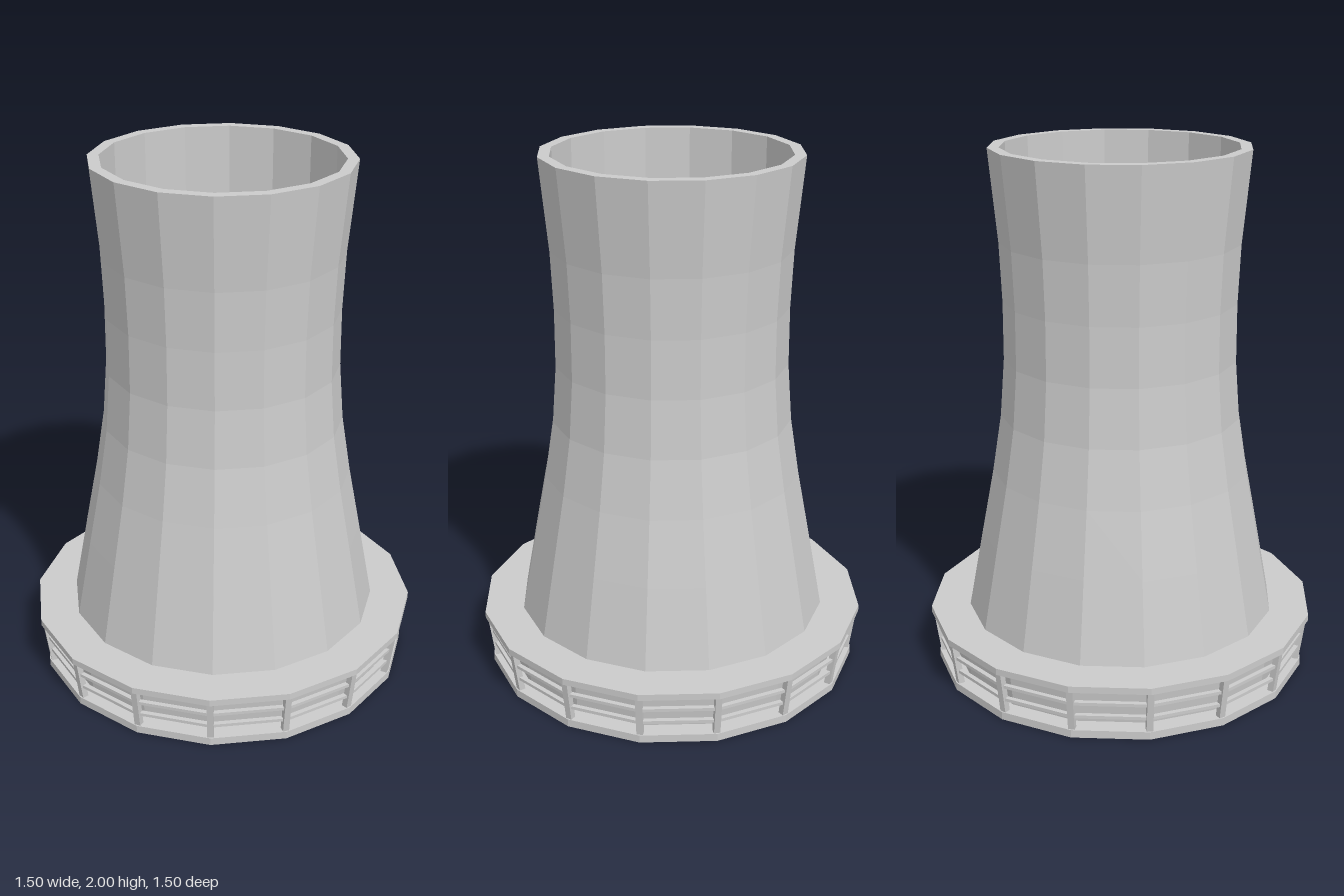
import * as THREE from 'three';

const SIDES = 16;

export function createModel() {
  const model = new THREE.Group();
  model.name = 'coolingTower';
  const material = new THREE.MeshStandardMaterial({ color: 0xcccccc, flatShading: true });

  // Faceted solid of revolution; profile runs up the outside, then back in.
  const addLathe = (name, profile) => {
    const points = profile.map(([r, y]) => new THREE.Vector2(r, y));
    const mesh = new THREE.Mesh(new THREE.LatheGeometry(points, SIDES), material);
    mesh.name = name;
    model.add(mesh);
  };

  // Waisted shell with a deep, nearly straight bore
  addLathe('towerShell', [
    [0.6, 0.21], [0.54, 0.53], [0.492, 0.78], [0.457, 1.0], [0.44, 1.22],
    [0.439, 1.44], [0.448, 1.66], [0.48, 2.0],
    [0.438, 2.0], [0.425, 0.23], [0, 0.23],
  ]);

  // Plates above and below the air intake
  addLathe('topPlate', [[0, 0.195], [0.75, 0.195], [0.75, 0.22], [0, 0.22]]);
  addLathe('bottomPlate', [[0, 0], [0.725, 0], [0.725, 0.03], [0, 0.03]]);

  // Recessed wall behind the intake frame
  addLathe('intakeCore', [[0.66, 0.03], [0.68, 0.195]]);

  // Horizontal rails
  const rail = (y) => {
    const r = 0.708 + 0.13 * (y - 0.03);
    const h = 0.006;
    addLathe('intakeRail', [
      [r - 0.012, y - h], [r + 0.006, y - h], [r + 0.006, y + h],
      [r - 0.012, y + h], [r - 0.012, y - h],
    ]);
  };
  [0.082, 0.138].forEach(rail);

  // Outward-leaning posts at every corner
  const bottom = new THREE.Vector3(0, 0.028, 0.707);
  const top = new THREE.Vector3(0, 0.198, 0.73);
  const postGeometry = new THREE.BoxGeometry(0.024, bottom.distanceTo(top), 0.024);
  postGeometry.rotateX(Math.atan2(top.z - bottom.z, top.y - bottom.y));
  postGeometry.translate(0, (bottom.y + top.y) / 2, (bottom.z + top.z) / 2);
  for (let i = 0; i < SIDES; i++) {
    const post = new THREE.Mesh(postGeometry, material);
    post.name = 'intakePost';
    post.rotation.y = (i / SIDES) * Math.PI * 2;
    model.add(post);
  }

  return model;
}
